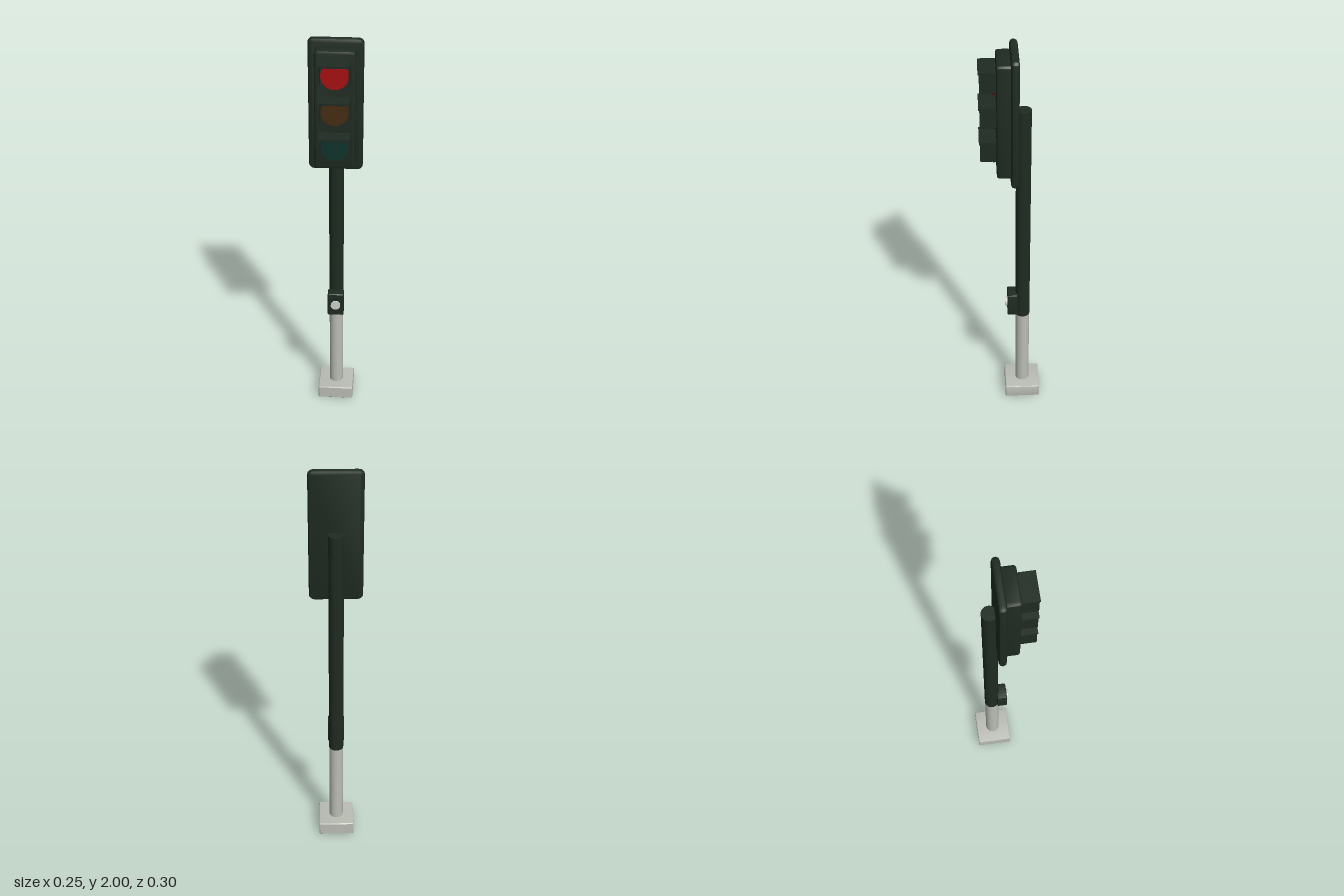
import * as THREE from 'three';
import { toCreasedNormals } from 'three/addons/utils/BufferGeometryUtils.js';

const paint = (name, color) => {
  const m = new THREE.MeshStandardMaterial({ color });
  m.name = name;
  return m;
};

// Upright slab with rounded corners and softened edges, from z0 to z1
function slab(w, y0, y1, z0, z1, radius, bevel, segments = 2) {
  const x = w / 2 - bevel, b = y0 + bevel, t = y1 - bevel, r = radius;
  const s = new THREE.Shape();
  s.moveTo(-x + r, b);
  s.lineTo(x - r, b);
  s.quadraticCurveTo(x, b, x, b + r);
  s.lineTo(x, t - r);
  s.quadraticCurveTo(x, t, x - r, t);
  s.lineTo(-x + r, t);
  s.quadraticCurveTo(-x, t, -x, t - r);
  s.lineTo(-x, b + r);
  s.quadraticCurveTo(-x, b, -x + r, b);
  const g = new THREE.ExtrudeGeometry(s, {
    depth: z1 - z0 - 2 * bevel, bevelEnabled: true, bevelSize: bevel,
    bevelThickness: bevel, bevelSegments: segments, curveSegments: 3,
  });
  g.translate(0, 0, z0 + bevel);
  return toCreasedNormals(g, 0.5);
}

// Box given by its minimum and maximum corners
function box(x0, x1, y0, y1, z0, z1) {
  return new THREE.BoxGeometry(x1 - x0, y1 - y0, z1 - z0)
    .translate((x0 + x1) / 2, (y0 + y1) / 2, (z0 + z1) / 2);
}

// Forward-facing disc
function disc(r, y, z0, z1) {
  return new THREE.CylinderGeometry(r, r, z1 - z0, 32)
    .rotateX(Math.PI / 2).translate(0, y, (z0 + z1) / 2);
}

// Upright tube section of the post
function post(r, y0, y1) {
  return new THREE.CylinderGeometry(r, r, y1 - y0, 32).translate(0, (y0 + y1) / 2, -0.06);
}

export function createModel() {
  const model = new THREE.Group();
  model.name = 'trafficLight';
  const dark = paint('darkGreenMetal', 0x1f2b22);
  const pale = paint('paleGreyMetal', 0xbabdb4);
  const white = paint('buttonWhite', 0xcdd3cf);
  const red = paint('redLens', 0xa60f10);
  const amber = paint('amberLens', 0x462d12);
  const green = paint('greenLens', 0x0e332d);

  const add = (parent, name, geometry, material) => {
    const mesh = new THREE.Mesh(geometry, material);
    mesh.name = name;
    parent.add(mesh);
  };

  // Foot and post
  add(model, 'basePlate', slab(0.178, 0, 0.068, -0.148, 0.03, 0.002, 0.004, 1), pale);
  add(model, 'lowerPost', post(0.035, 0.06, 0.51), pale);
  add(model, 'upperPost', post(0.036, 0.51, 1.7), dark);

  // Crossing button
  add(model, 'buttonBox', slab(0.08, 0.525, 0.65, -0.034, 0.017, 0.002, 0.004, 1), dark);
  add(model, 'button', disc(0.024, 0.588, 0.015, 0.026), white);

  // Signal head
  add(model, 'backboard', slab(0.254, 1.348, 2, -0.035, 0.003, 0.01, 0.017), dark);
  add(model, 'housing', slab(0.188, 1.386, 1.965, -0.005, 0.067, 0.008, 0.012), dark);

  // Three lamps, each under an open-bottomed hood
  [['red', 1.853, red], ['amber', 1.677, amber], ['green', 1.5, green]].forEach(([name, y, lens]) => {
    const lamp = new THREE.Group();
    lamp.name = name + 'Lamp';
    add(lamp, 'lens', disc(0.064, y, 0.06, 0.083), lens);
    add(lamp, 'hoodRoof', box(-0.07, 0.07, y + 0.063, y + 0.073, 0.06, 0.147), dark);
    for (const side of [-1, 1]) {
      add(lamp, 'hoodSide', box(side * 0.0685 - 0.0035, side * 0.0685 + 0.0035,
        y - 0.027, y + 0.07, 0.06, 0.142), dark);
    }
    model.add(lamp);
  });
  return model;
}
